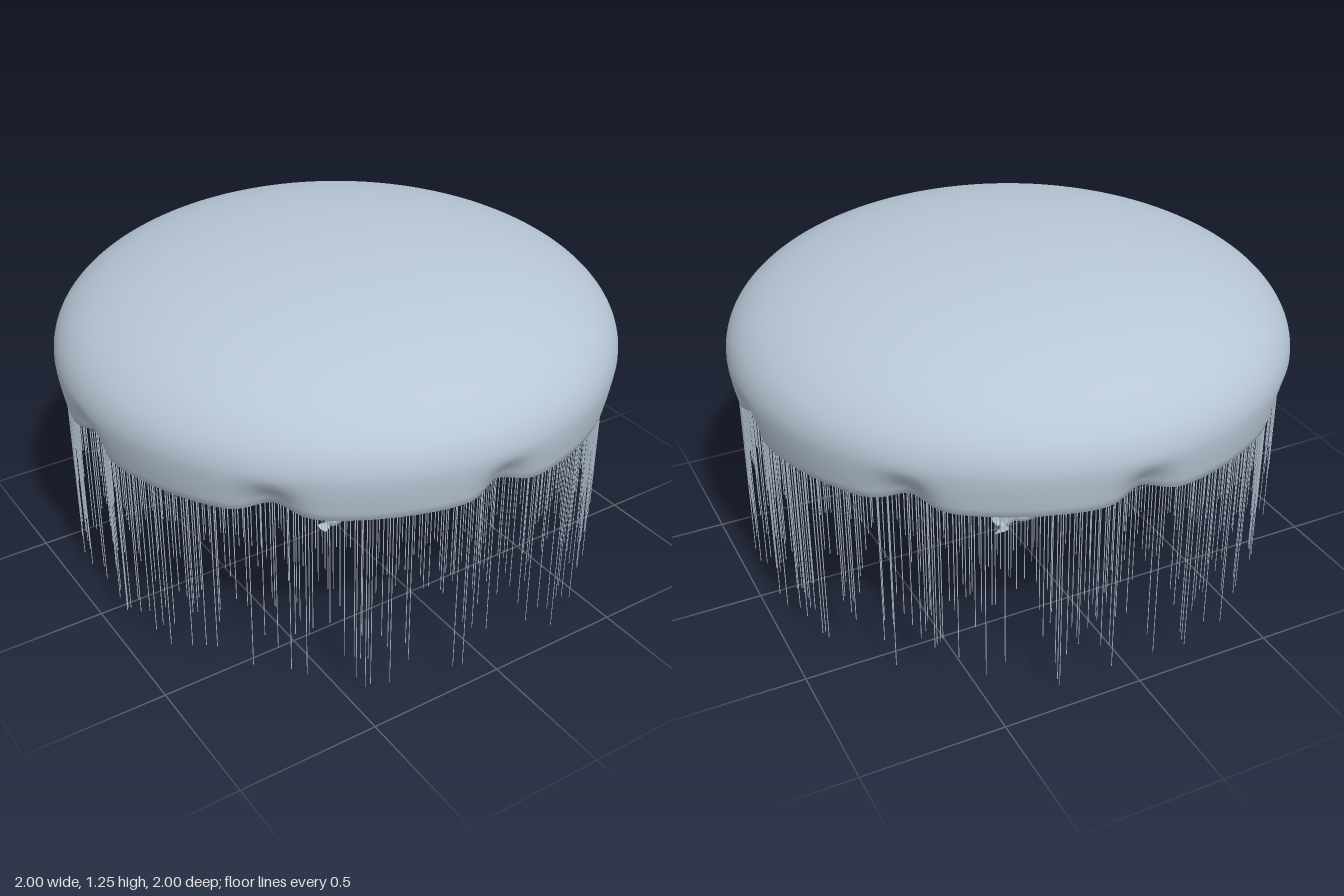
import * as THREE from 'three';
import { mergeGeometries, mergeVertices } from 'three/addons/utils/BufferGeometryUtils.js';

const skin = new THREE.MeshStandardMaterial({ color: 0xb8c7d6, side: THREE.DoubleSide });
skin.name = 'pale blue grey';

// small seeded random
let seed = 7;
const rand = () => {
  seed = (seed * 16807) % 2147483647;
  return seed / 2147483647;
};

// move every vertex by a rule, then smooth the normals across the seam
function reshape(geometry, rule) {
  const p = geometry.attributes.position;
  const v = new THREE.Vector3();
  for (let i = 0; i < p.count; i++) {
    v.fromBufferAttribute(p, i);
    rule(v);
    p.setXYZ(i, v.x, v.y, v.z);
  }
  geometry.deleteAttribute('uv');
  geometry.deleteAttribute('normal');
  const merged = mergeVertices(geometry, 1e-5);
  merged.computeVertexNormals();
  return merged;
}

// eight notches around the rim: pull the lower wall in and up
function notch(v) {
  const r = Math.hypot(v.x, v.z);
  if (r < 0.5) return;
  const step = Math.PI / 4;
  const a = Math.atan2(v.x, v.z);
  const d = a - Math.round(a / step) * step;
  const low = 1 - THREE.MathUtils.smoothstep(v.y, 0.72, 0.87);
  const w = Math.exp(-((d / 0.085) ** 2)) * low;
  const k = (r - 0.042 * w) / r;
  v.x *= k;
  v.z *= k;
  v.y += 0.026 * w;
}

// domed bell with a hollow underside
function makeBell() {
  const pts = [];
  for (let i = 0; i <= 20; i++) {
    const t = (i / 20) * Math.PI / 2;
    pts.push(new THREE.Vector2(0.955 * Math.sin(t), 0.79 + 0.23 * Math.cos(t)));
  }
  pts.push(new THREE.Vector2(0.96, 0.755), new THREE.Vector2(0.968, 0.72));
  for (const [r, y] of [[0.977, 0.717], [0.983, 0.745], [0.989, 0.775], [0.994, 0.805], [0.998, 0.835]]) {
    pts.push(new THREE.Vector2(r, y));
  }
  const power = 2 / 2.15;
  for (let i = 0; i <= 36; i++) {
    const t = (i / 36) * Math.PI / 2;
    pts.push(new THREE.Vector2(Math.abs(Math.cos(t)) ** power, 0.86 + 0.385 * Math.sin(t) ** power));
  }
  pts[0].x = pts[pts.length - 1].x = 0;
  return reshape(new THREE.LatheGeometry(pts, 240), notch);
}

// thin tentacles hanging from the rim
function makeTentacles(count) {
  const parts = [];
  for (let i = 0; i < count; i++) {
    const a = ((i + 0.8 * rand()) / count) * Math.PI * 2;
    const length = i === 30 ? 0.72 : 0.1 + 0.59 * rand() ** 1.6;
    const root = new THREE.Vector3(0.972 * Math.sin(a), 0.72, 0.972 * Math.cos(a));
    notch(root);
    const g = new THREE.CylinderGeometry(0.002, 0.0014, length, 4, 1);
    g.translate(root.x, root.y - length / 2, root.z);
    parts.push(g);
  }
  return mergeGeometries(parts);
}

// four-cornered stalk flaring into the ceiling of the bell
function makeStalk() {
  const profile = [[0, 0.062], [0.05, 0.06], [0.078, 0.058]];
  for (let i = 1; i <= 40; i++) {
    const y = 0.058 + (i / 40) * 0.742;
    const swell = 0.078 + 0.014 * Math.sin(Math.PI * Math.min(1, (i / 40) * 1.05));
    profile.push([swell + 0.0025 * Math.sin(y * 52), y]);
  }
  profile.push([0.08, 0.86], [0.1, 0.91], [0.15, 0.955], [0.22, 0.985], [0.3, 1.01]);
  const pts = profile.map(([r, y]) => new THREE.Vector2(r, y));
  return reshape(new THREE.LatheGeometry(pts, 64), (v) => {
    const a = Math.atan2(v.x, v.z);
    const fade = 1 - THREE.MathUtils.smoothstep(v.y, 0.7, 0.93);
    const k = 1 - 0.26 * Math.cos(4 * a) * fade;
    v.x *= k;
    v.z *= k;
  });
}

// ruffled ribbon along one corner of the stalk
function makeFrill(phase) {
  const bottom = 0.052, top = 0.86;
  const g = new THREE.PlaneGeometry(1, 1, 4, 110);
  return reshape(g, (v) => {
    const out = v.x + 0.5;
    const t = v.y + 0.5;
    const y = bottom + (top - bottom) * t;
    const wave = (y * 2 * Math.PI) / 0.1 + phase;
    const belly = Math.sin(Math.PI * Math.min(1, t * 1.05));
    const inner = 0.084 + 0.012 * belly;
    const reach = 0.042 + 0.014 * belly - 0.025 * t;
    const x = inner + out * (reach + 0.012 * Math.sin(2 * wave + 1) + 0.007 * Math.sin(wave * 0.63));
    const z = out * (0.036 - 0.016 * t) * (Math.sin(wave) + 0.35 * Math.sin(2.3 * wave + phase));
    v.set(x, y + 0.012 * out * Math.cos(1.7 * wave) * Math.min(1, t * 10), z);
  });
}

export function createModel() {
  const model = new THREE.Group();
  model.name = 'jellyfish';
  const add = (name, geometry, parent = model) => {
    const mesh = new THREE.Mesh(geometry, skin);
    mesh.name = name;
    parent.add(mesh);
    return mesh;
  };

  add('bell', makeBell());
  add('tentacles', makeTentacles(600));

  const arms = new THREE.Group();
  arms.name = 'oralArms';
  model.add(arms);
  add('stalk', makeStalk(), arms);
  for (let i = 0; i < 4; i++) {
    add('frill', makeFrill(i * 1.7), arms).rotation.y = Math.PI / 4 + i * Math.PI / 2;
  }
  return model;
}
